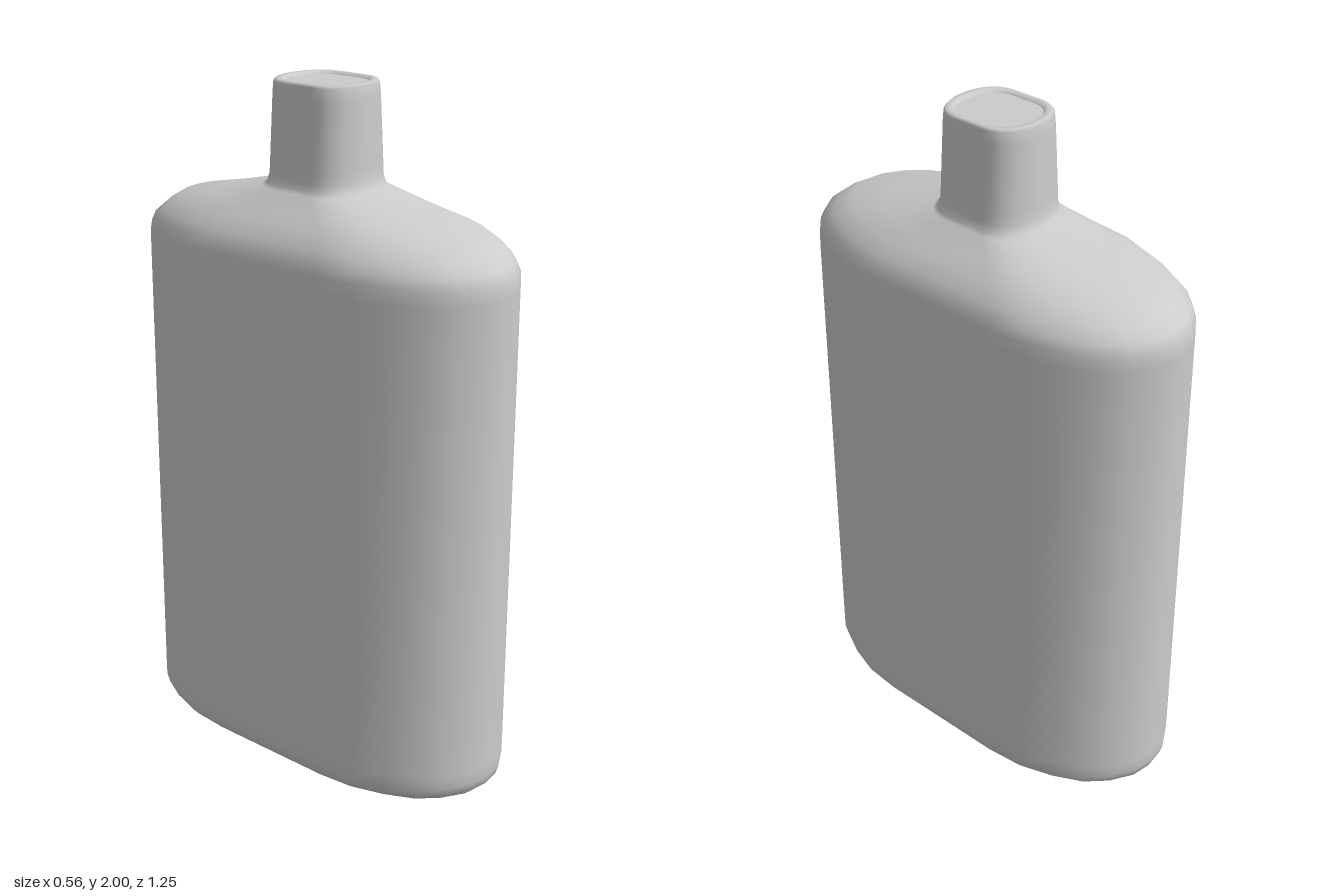
import * as THREE from 'three';

// Quarter outlines from the narrow end (+z) round to the broad side (+x), unit half-sizes
const BODY = [[0, 1], [0.23, 0.985], [0.48, 0.92], [0.68, 0.83], [0.84, 0.69], [0.96, 0.525], [1, 0.34]];
const NECK = [[0, 1], [0.25, 0.985], [0.5, 0.93], [0.72, 0.83], [0.88, 0.69], [0.97, 0.53], [1, 0.36]];

const material = new THREE.MeshStandardMaterial({ color: 0xcccccc });

// Full ring from a mirrored quarter; blend 0 = body outline, 1 = neck outline
function ring([y, hx, hz, blend = 0]) {
  const q = BODY.map(([x, z], i) => [
    hx * THREE.MathUtils.lerp(x, NECK[i][0], blend),
    hz * THREE.MathUtils.lerp(z, NECK[i][1], blend),
  ]);
  const right = [...q, ...q.slice(1).reverse().map(([x, z]) => [x, -z]), [0, -q[0][1]]];
  const left = right.slice(1, -1).reverse().map(([x, z]) => [-x, z]);
  return [...right, ...left].map(([x, z]) => [x, y, z]);
}

function makeMesh(name, positions, index) {
  const geometry = new THREE.BufferGeometry();
  geometry.setAttribute('position', new THREE.Float32BufferAttribute(positions.flat(), 3));
  geometry.setIndex(index);
  geometry.computeVertexNormals();
  const mesh = new THREE.Mesh(geometry, material);
  mesh.name = name;
  return mesh;
}

// Skin joining a stack of rings
function loft(name, sections) {
  const rings = sections.map(ring);
  const n = rings[0].length;
  const index = [];
  for (let r = 0; r < rings.length - 1; r++) {
    for (let i = 0; i < n; i++) {
      const j = (i + 1) % n;
      const a = r * n + i, b = r * n + j;
      index.push(a, b, b + n, a, b + n, a + n);
    }
  }
  return makeMesh(name, rings.flat(), index);
}

// Flat lid over one ring, facing up or down
function lid(name, section, up) {
  const points = ring(section);
  const n = points.length;
  const index = [];
  for (let i = 0; i < n; i++) {
    const j = (i + 1) % n;
    index.push(n, up ? i : j, up ? j : i);
  }
  return makeMesh(name, [...points, [0, section[0], 0]], index);
}

export function createModel() {
  const group = new THREE.Group();
  group.name = 'flask';

  // Recessed foot, straight wall, sloping shoulder, tapered neck and rolled lip
  const foot = [0.03, 0.155, 0.42];
  const mouth = [1.992, 0.096, 0.114, 1];
  group.add(loft('flaskShell', [
    foot,
    [0.022, 0.165, 0.435],
    [0.004, 0.185, 0.46],
    [0, 0.2, 0.48],
    [0, 0.245, 0.57],
    [0.006, 0.262, 0.597],
    [0.022, 0.276, 0.615],
    [0.05, 0.282, 0.624],
    [0.09, 0.282, 0.625],
    [1.49, 0.282, 0.625],
    [1.535, 0.281, 0.623],
    [1.565, 0.274, 0.607],
    [1.595, 0.258, 0.57],
    [1.63, 0.228, 0.51],
    [1.66, 0.191, 0.365, 0.3],
    [1.703, 0.144, 0.18, 0.9],
    [1.712, 0.136, 0.165, 1],
    [1.735, 0.13, 0.156, 1],
    [1.77, 0.129, 0.154, 1],
    [1.96, 0.121, 0.146, 1],
    [1.993, 0.119, 0.143, 1],
    [2, 0.114, 0.137, 1],
    [2, 0.102, 0.121, 1],
    mouth,
  ]));

  group.add(lid('basePanel', foot, false));
  group.add(lid('mouthDisc', mouth, true));
  return group;
}
